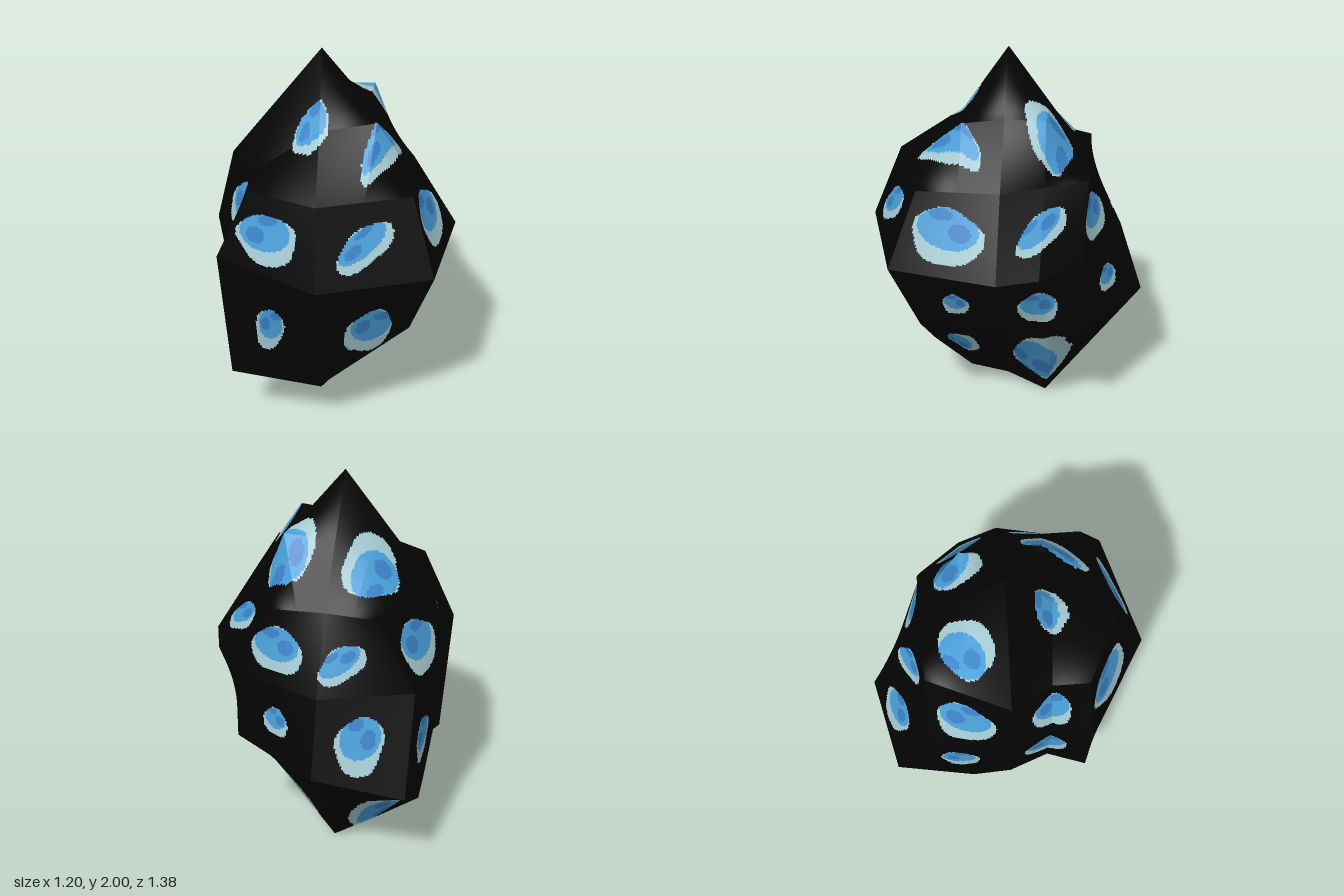
import * as THREE from 'three';

const CENTRE = new THREE.Vector3(-0.07, 1.06, 0);
// Reach of the six bulging side centres and of the edges and corners, as [negative, positive] per axis.
const BULGE = [[0.53, 0.67], [0.96, 0.94], [0.57, 0.69]];
const EDGE = [[0.44, 0.45], [0.375, 0.375], [0.4, 0.4]];

// Bumps and dents that leave the rule: grid place (-2 to 2 on each axis) and position.
const BUMPS = {
  '0,2,2': [-0.07, 1.44, 0.54], '2,0,2': [0.49, 1.06, 0.53], '-2,0,2': [-0.56, 1.07, 0.4],
  '0,-2,2': [-0.07, 0.3, 0.4], '0,-2,-2': [-0.07, 0.68, -0.69], '-2,-2,0': [-0.5, 0.31, 0],
  '-2,2,2': [-0.4, 1.43, 0.38], '2,2,-2': [0.2, 1.43, -0.41], '-2,2,-2': [-0.33, 1.43, -0.4],
  '-2,-2,2': [-0.51, 0.38, 0.4], '-2,-2,-2': [-0.51, 0.57, -0.59], '0,2,1': [-0.07, 1.67, 0.22],
  '1,2,1': [0.2, 1.71, 0.2], '1,2,-1': [0.18, 1.73, -0.2], '-1,2,-1': [-0.23, 1.62, -0.2],
  '0,-2,1': [-0.07, 0.14, 0.2], '0,-2,-1': [-0.07, 0, -0.2], '2,0,-1': [0.53, 1.06, -0.2],
  '-2,0,1': [-0.51, 1.06, 0.2], '-2,2,1': [-0.4, 1.43, 0.2], '-2,-2,1': [-0.45, 0.41, 0.2],
  '-2,-2,-1': [-0.51, 0.31, -0.2], '-1,-2,0': [-0.3, 0.16, 0.04], '1,-2,-1': [0.19, 0.39, -0.24],
  '-1,-2,-1': [-0.29, 0.15, -0.2],
};

// Position of a grid point: a bump, the rule, or the average of its even neighbours.
function point(...place) {
  const bump = BUMPS[place.join()];
  if (bump) return new THREE.Vector3(...bump);
  const odd = place.findIndex((n) => n % 2);
  if (odd >= 0) {
    const [low, high] = [-1, 1].map((d) => point(...place.map((n, i) => (i === odd ? n + d : n))));
    return low.lerp(high, 0.5);
  }
  const reach = place.filter((n) => n).length === 1 ? BULGE : EDGE;
  const offset = place.map((n, i) => Math.sign(n) * reach[i][n > 0 ? 1 : 0]);
  return new THREE.Vector3(...offset).add(CENTRE);
}

// Colour of a place in a spot [centre, centre, radius, radius, turn]:
// 0 stone, 1 rim, 2 pool shifted upwards, 3 two cores inside the pool.
function spotColour(p, q, [cp, cq, rp, rq, turn = 0], up) {
  const c = Math.cos(turn), s = Math.sin(turn);
  const a = ((p - cp) * c + (q - cq) * s) / rp;
  const b = ((q - cq) * c - (p - cp) * s) / rq;
  const angle = Math.atan2(b, a);
  if (Math.hypot(a, b) > 1 + 0.05 * Math.sin(3 * angle + cp * 20) + 0.03 * Math.sin(5 * angle)) return 0;
  const x = a / 0.86, y = (b * up - 0.28) / 0.74;
  if (Math.hypot(x, y) > 1) return 1;
  const core = Math.hypot((x + 0.4) / 0.36, (y + 0.1) / 0.45) < 1 || Math.hypot((x - 0.25) / 0.38, (y - 0.62) / 0.28) < 1;
  return core ? 3 : 2;
}

export function createModel() {
  const material = (name, color) => {
    const m = new THREE.MeshStandardMaterial({ color });
    m.name = name;
    return m;
  };
  const materials = [
    material('blackStone', 0x040404), material('paleBlueRim', 0xa5cad2),
    material('skyBluePool', 0x4a9fd8), material('deepBlueCore', 0x3a82c8),
  ];
  const boulder = new THREE.Group();
  boulder.name = 'boulder';
  const N = 26; // small faces along each grid cell

  // One side of the boulder: spots are laid out on the axes p and q.
  function addSide(name, place, [p, q], up, spots) {
    const layers = materials.map(() => []);
    for (let a = -2; a < 2; a++) for (let b = -2; b < 2; b++) {
      const [c00, c10, c01, c11] = [[0, 0], [1, 0], [0, 1], [1, 1]].map(([da, db]) => point(...place(a + da, b + db)));
      const at = (u, v) => c00.clone().lerp(c10, u / N).lerp(c01.clone().lerp(c11, u / N), v / N);
      for (let u = 0; u < N; u++) for (let v = 0; v < N; v++) {
        const w = at(u, v), x = at(u + 1, v), y = at(u + 1, v + 1), z = at(u, v + 1);
        const middle = w.clone().lerp(y, 0.5);
        const colour = Math.max(...spots.map((spot) => spotColour(middle[p], middle[q], spot, up)));
        for (const corner of [w, x, y, w, y, z]) layers[colour].push(...corner.toArray());
      }
    }
    // one geometry group per colour
    const geometry = new THREE.BufferGeometry();
    geometry.setAttribute('position', new THREE.Float32BufferAttribute(layers.flat(), 3));
    let start = 0;
    layers.forEach((layer, i) => {
      geometry.addGroup(start, layer.length / 3, i);
      start += layer.length / 3;
    });
    geometry.computeVertexNormals();
    const mesh = new THREE.Mesh(geometry, materials);
    mesh.name = name;
    boulder.add(mesh);
  }

  addSide('frontSide', (a, b) => [a, b, 2], 'xy', 1,
    [[-0.305, 1.23, 0.15, 0.115, 0.3], [0.16, 1.24, 0.15, 0.08, 0.6], [-0.305, 0.7, 0.07, 0.145, -0.15], [0.18, 0.71, 0.11, 0.17, -0.3]]);
  addSide('backSide', (a, b) => [-a, b, -2], 'xy', 1,
    [[-0.17, 1.21, 0.12, 0.075, -0.6], [0.16, 1.225, 0.135, 0.11], [-0.28, 0.83, 0.11, 0.14], [0.15, 0.87, 0.07, 0.07]]);
  addSide('leftSide', (a, b) => [2, b, -a], 'zy', 1,
    [[0.245, 1.24, 0.175, 0.125, 0.1], [-0.2, 1.255, 0.13, 0.07, -0.6], [0.21, 0.86, 0.065, 0.078], [-0.19, 0.855, 0.097, 0.11]]);
  addSide('rightSide', (a, b) => [-2, b, a], 'zy', 1,
    [[-0.22, 1.22, 0.14, 0.13], [0.2, 1.24, 0.095, 0.125], [-0.26, 0.72, 0.095, 0.14, 0.2], [0.18, 0.75, 0.11, 0.17]]);
  addSide('topSide', (a, b) => [a, 2, -b], 'xz', -1,
    [[-0.245, -0.195, 0.15, 0.1, -0.85], [0.135, -0.21, 0.115, 0.115, 0.4], [-0.11, 0.21, 0.085, 0.08], [0.225, 0.25, 0.175, 0.055, -1.1]]);
  addSide('bottomSide', (a, b) => [a, -2, b], 'xz', 1,
    [[0.19, 0.21, 0.09, 0.08, 0.3], [0.165, -0.2, 0.16, 0.145, 0.3], [-0.3, -0.33, 0.18, 0.1, 0.8], [-0.27, 0.23, 0.07, 0.055, 0.4]]);
  return boulder;
}
